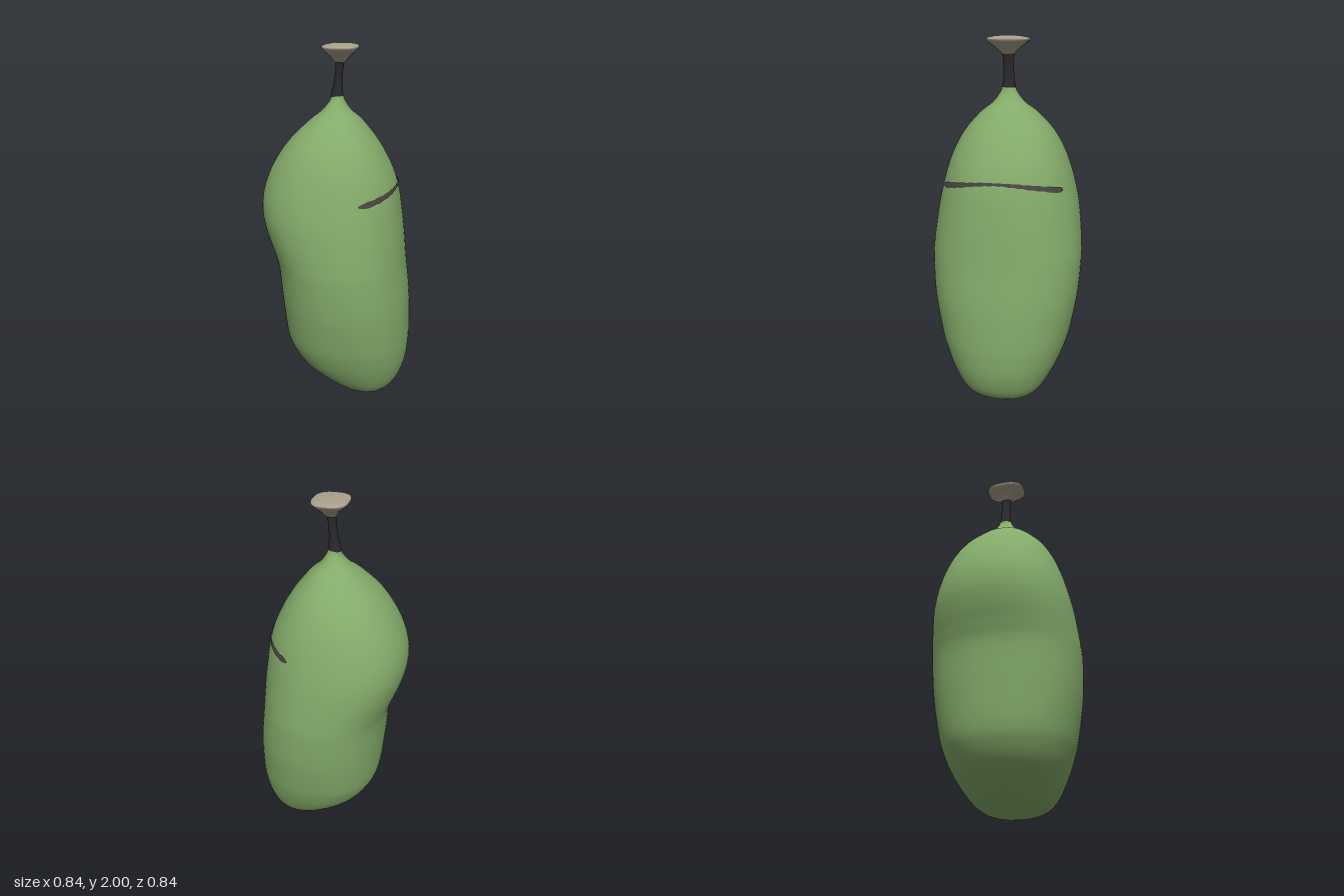
import * as THREE from 'three';

const skin = new THREE.MeshStandardMaterial({ name: 'green skin', color: 0x84ab6a });
const stalk = new THREE.MeshStandardMaterial({ name: 'dark stalk', color: 0x2a2a2c });
const cut = new THREE.MeshStandardMaterial({ name: 'taupe cap', color: 0xa99f8b });
const slit = new THREE.MeshStandardMaterial({ name: 'dark slit', color: 0x4a4545, side: THREE.DoubleSide });

// Rows are [y, left x, right x, half depth]; returns a smooth sampler over t = 0..1
function sampler(rows) {
  const a = new THREE.CatmullRomCurve3(rows.map(r => new THREE.Vector3(r[1], r[0], r[2])), false, 'catmullrom', 0.5);
  const b = new THREE.CatmullRomCurve3(rows.map(r => new THREE.Vector3(r[3], r[0], 0)), false, 'catmullrom', 0.5);
  return t => {
    const p = a.getPoint(t), q = b.getPoint(t);
    return { y: p.y, cx: (p.x + p.z) / 2, hx: Math.max(0, (p.z - p.x) / 2), hz: Math.max(0, q.x) };
  };
}

// Superellipse cross-sections joined into a closed smooth skin
function loft(rows, power, rings, sides) {
  const at = sampler(rows), pos = [], index = [];
  const bend = v => Math.sign(v) * Math.pow(Math.abs(v), 2 / power);
  for (let i = 0; i <= rings; i++) {
    const s = at(i / rings);
    for (let j = 0; j < sides; j++) {
      const a = (j / sides) * Math.PI * 2;
      pos.push(s.cx + s.hx * bend(Math.cos(a)), s.y, s.hz * bend(Math.sin(a)));
      if (i === rings) continue;
      const k = i * sides + j, n = i * sides + (j + 1) % sides;
      index.push(k, k + sides, n, n, k + sides, n + sides);
    }
  }
  const g = new THREE.BufferGeometry();
  g.setAttribute('position', new THREE.Float32BufferAttribute(pos, 3));
  g.setIndex(index);
  g.computeVertexNormals();
  return g;
}

const bodyRows = [
  [0, 0.18, 0.181, 0.001], [0.008, 0.1, 0.25, 0.1], [0.04, 0.03, 0.315, 0.18], [0.1, -0.07, 0.365, 0.24],
  [0.2, -0.2, 0.4, 0.3], [0.3, -0.268, 0.413, 0.342], [0.4, -0.298, 0.416, 0.37], [0.6, -0.316, 0.408, 0.405],
  [0.8, -0.332, 0.385, 0.418], [0.9, -0.36, 0.375, 0.414], [1.0, -0.396, 0.365, 0.404], [1.1, -0.418, 0.352, 0.39],
  [1.2, -0.415, 0.336, 0.368], [1.3, -0.386, 0.31, 0.34], [1.4, -0.335, 0.265, 0.302], [1.5, -0.262, 0.205, 0.245],
  [1.6, -0.158, 0.125, 0.155], [1.65, -0.095, 0.07, 0.09], [1.7, -0.052, 0.034, 0.05], [1.735, -0.042, 0.022, 0.034],
];
const stemRows = [
  [1.725, -0.046, 0.024, 0.037], [1.78, -0.032, 0.018, 0.03], [1.85, -0.02, 0.02, 0.028], [1.92, -0.018, 0.03, 0.033],
];
const capRows = [
  [1.895, 0.004, 0.006, 0.001], [1.902, -0.02, 0.03, 0.028], [1.93, -0.042, 0.058, 0.06], [1.96, -0.074, 0.09, 0.098],
  [1.979, -0.086, 0.102, 0.114], [1.99, -0.078, 0.092, 0.1], [1.997, -0.045, 0.058, 0.06], [2, 0.007, 0.009, 0.001],
];

// Point on the +x side of the body at a given height and depth, lifted slightly
function onBody(y, z) {
  const at = sampler(bodyRows);
  let lo = 0, hi = 1;
  for (let i = 0; i < 24; i++) {
    const m = (lo + hi) / 2;
    if (at(m).y < y) lo = m; else hi = m;
  }
  const s = at(lo);
  const x = s.hx * Math.pow(Math.max(0, 1 - Math.pow(Math.abs(z) / s.hz, 2.2)), 1 / 2.2);
  return [s.cx + x * 1.015, y, z * 1.015];
}

// Thin curved slit wrapped around the side, thicker at its ends
function slitGeometry() {
  const pos = [], index = [], n = 48;
  for (let i = 0; i <= n; i++) {
    const u = (i / n) * 2 - 1;
    const y = 1.27 - 0.048 * Math.pow(Math.abs(u), 1.8);
    const taper = Math.min(1, (1 - Math.abs(u)) * 12 + 0.35);
    const half = (0.007 + 0.008 * Math.abs(u) + 0.0015 * Math.sin(i * 1.7)) * taper;
    pos.push(...onBody(y - half, u * 0.318), ...onBody(y + half, u * 0.318));
    if (i < n) index.push(2 * i, 2 * i + 1, 2 * i + 2, 2 * i + 2, 2 * i + 1, 2 * i + 3);
  }
  const g = new THREE.BufferGeometry();
  g.setAttribute('position', new THREE.Float32BufferAttribute(pos, 3));
  g.setIndex(index);
  g.computeVertexNormals();
  return g;
}

export function createModel() {
  const model = new THREE.Group();
  model.name = 'fruit';
  const add = (name, geometry, material) => {
    const mesh = new THREE.Mesh(geometry, material);
    mesh.name = name;
    model.add(mesh);
  };
  add('body', loft(bodyRows, 2.2, 120, 72), skin);
  add('stem', loft(stemRows, 2.2, 16, 32), stalk);
  add('stemCap', loft(capRows, 2.7, 36, 40), cut);
  add('slit', slitGeometry(), slit);
  return model;
}
